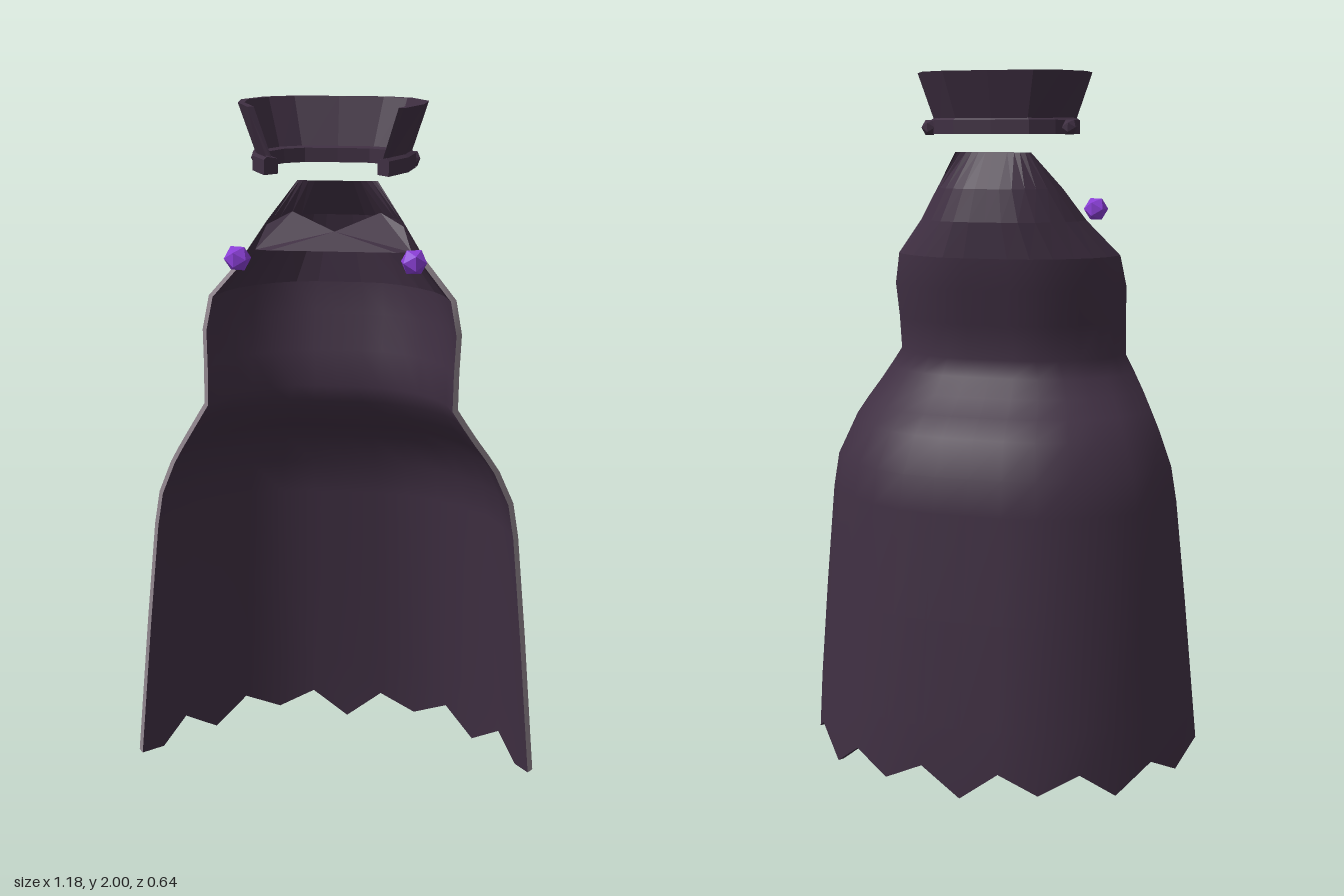
import * as THREE from 'three';

const cloth = new THREE.MeshStandardMaterial({ color: 0x3f2f42, side: THREE.DoubleSide });
cloth.name = 'dark plum cloth';
const clothFlat = cloth.clone();
clothFlat.flatShading = true;
const trim = new THREE.MeshStandardMaterial({ color: 0x8c8189, side: THREE.DoubleSide });
trim.name = 'grey trim';
const violet = new THREE.MeshStandardMaterial({ color: 0x8a3fd6, flatShading: true });
violet.name = 'violet gem';

// Surface through rows of equally many points
function loft(rows, material, name) {
  const n = rows[0].length, index = [];
  for (let r = 0; r < rows.length - 1; r++) {
    for (let c = 0; c < n - 1; c++) {
      const a = r * n + c, b = a + 1, d = a + n, e = d + 1;
      index.push(a, d, b, b, d, e);
    }
  }
  const g = new THREE.BufferGeometry();
  g.setAttribute('position', new THREE.Float32BufferAttribute(rows.flat(2), 3));
  g.setIndex(index);
  g.computeVertexNormals();
  const mesh = new THREE.Mesh(g, material);
  mesh.name = name;
  return mesh;
}

// Half of the open cross-section, from the middle of the back to the front edge
const fracX = [0, 0.19, 0.38, 0.56, 0.71, 0.85, 0.94, 1];
const fracZ = [0, 0, 0.03, 0.14, 0.29, 0.48, 0.7, 1];
const hem = [0, 0.085, 0.03, 0.085, 0.008, 0.085, 0.03, 0.08];

// Mirrors a half row [x, y, z] (middle first) into a whole one
const mirror = half => [...half.slice(1).reverse().map(([x, y, z]) => [-x, y, z]), ...half];

function section([y, w, front, back], inner, isHem) {
  const t = inner ? 0.014 : 0;
  const f = inner ? front : Math.max(front - 0.02, back);
  return mirror(fracX.map((fx, i) => [
    fx * (w - t), isHem ? hem[i] : y, back + t + (f - back - t) * fracZ[i],
  ]));
}

// y, half width, front z, back z
const bodyRows = [
  [0.08, 0.59, 0.145, -0.318], [0.2, 0.579, 0.14, -0.308], [0.5, 0.552, 0.125, -0.277],
  [0.8, 0.522, 0.112, -0.248], [0.9, 0.505, 0.112, -0.235], [1.0, 0.463, 0.135, -0.18],
  [1.05, 0.435, 0.16, -0.125], [1.1, 0.405, 0.19, -0.068], [1.15, 0.375, 0.21, -0.035],
  [1.2, 0.345, 0.222, -0.018], [1.3, 0.346, 0.208, -0.032], [1.4, 0.35, 0.192, -0.06],
  [1.49, 0.333, 0.18, -0.071],
];
const shoulderRows = [
  [1.49, 0.333, 0.18, -0.071], [1.59, 0.245, 0.13, -0.073],
  [1.68, 0.185, 0.09, -0.052], [1.78, 0.11, 0.014, 0.004],
];

function addCloak(group) {
  const outer = bodyRows.map((r, i) => section(r, false, i === 0));
  const inner = bodyRows.map((r, i) => section(r, true, i === 0));
  group.add(loft(outer, cloth, 'cloakOuter'), loft(inner, cloth, 'cloakLining'));
  group.add(loft([outer[0], inner[0]], cloth, 'hemEdge'));

  const shoulderOuter = shoulderRows.map(r => section(r, false));
  group.add(loft(shoulderOuter, clothFlat, 'shoulders'));
  const shoulderInner = shoulderRows.slice(0, 2).map(r => section(r, true));
  group.add(loft(shoulderInner, clothFlat, 'shoulderLining'));

  // Pale strip along both front edges
  const rows = [...outer, shoulderOuter[1]], lining = [...inner, shoulderInner[1]];
  for (const [col, name] of [[0, 'rightTrim'], [14, 'leftTrim']]) {
    group.add(loft([rows.map(r => r[col]), lining.map(r => r[col])], trim, name));
  }

  // Thin pointed flaps crossing at the throat
  for (const s of [1, -1]) {
    const name = s > 0 ? 'leftFlap' : 'rightFlap';
    group.add(loft([
      [[s * 0.185, 1.67, 0.075], [s * 0.12, 1.7, 0.035]],
      [[s * 0.21, 1.61, 0.125], [s * 0.0, 1.655, 0.085]],
      [[s * 0.17, 1.61, 0.135], [-s * 0.17, 1.61, 0.135]],
    ], clothFlat, name));
  }
}

function addCollar(group) {
  const collar = new THREE.Group();
  collar.name = 'collar';
  // Open ring in x and z, at the foot and at the flared top
  const foot = [[0, -0.008], [0.1, -0.004], [0.16, 0.03], [0.198, 0.1], [0.185, 0.19], [0.145, 0.275]];
  const top = [[0, -0.052], [0.13, -0.047], [0.2, -0.01], [0.247, 0.08], [0.24, 0.18], [0.195, 0.302]];
  const ring = (pts, y, t = 0) => mirror(pts.map(([x, z]) => {
    const k = 1 - t / 0.2;
    return [x * k, y, 0.12 + (z - 0.12) * k];
  }));
  collar.add(loft([
    ring(foot, 1.85), ring(top, 2), ring(top, 2, 0.014), ring(foot, 1.85, 0.014),
  ], clothFlat, 'collarWall'));

  // Square band around the foot
  const band = [[1.83, -0.018], [1.868, -0.018], [1.875, -0.008], [1.868, 0.025], [1.83, 0.025], [1.83, -0.018]];
  const bandRows = band.map(([y, t]) => ring(foot, y, t));
  collar.add(loft(bandRows, clothFlat, 'collarBand'));
  for (const col of [0, 10]) {
    const c = bandRows.map(r => r[col]);
    collar.add(loft([[c[0], c[1], c[2]], [c[0], c[4], c[3]]], clothFlat, 'bandEnd'));
  }
  // Small knots on the band
  for (const s of [1, -1]) {
    const knot = new THREE.Mesh(new THREE.IcosahedronGeometry(0.024, 0), clothFlat);
    knot.position.set(s * 0.205, 1.848, 0.06);
    knot.name = 'bandKnot';
    collar.add(knot);
  }
  group.add(collar);
}

export function createModel() {
  const group = new THREE.Group();
  group.name = 'cloak';
  addCloak(group);
  addCollar(group);

  // Clasp gems in front of the shoulders
  for (const [x, z, name] of [[0.225, 0.288, 'leftGem'], [-0.232, 0.28, 'rightGem']]) {
    const gem = new THREE.Mesh(new THREE.IcosahedronGeometry(0.036, 0), violet);
    gem.position.set(x, 1.615, z);
    gem.rotation.y = x;
    gem.name = name;
    group.add(gem);
  }
  return group;
}
